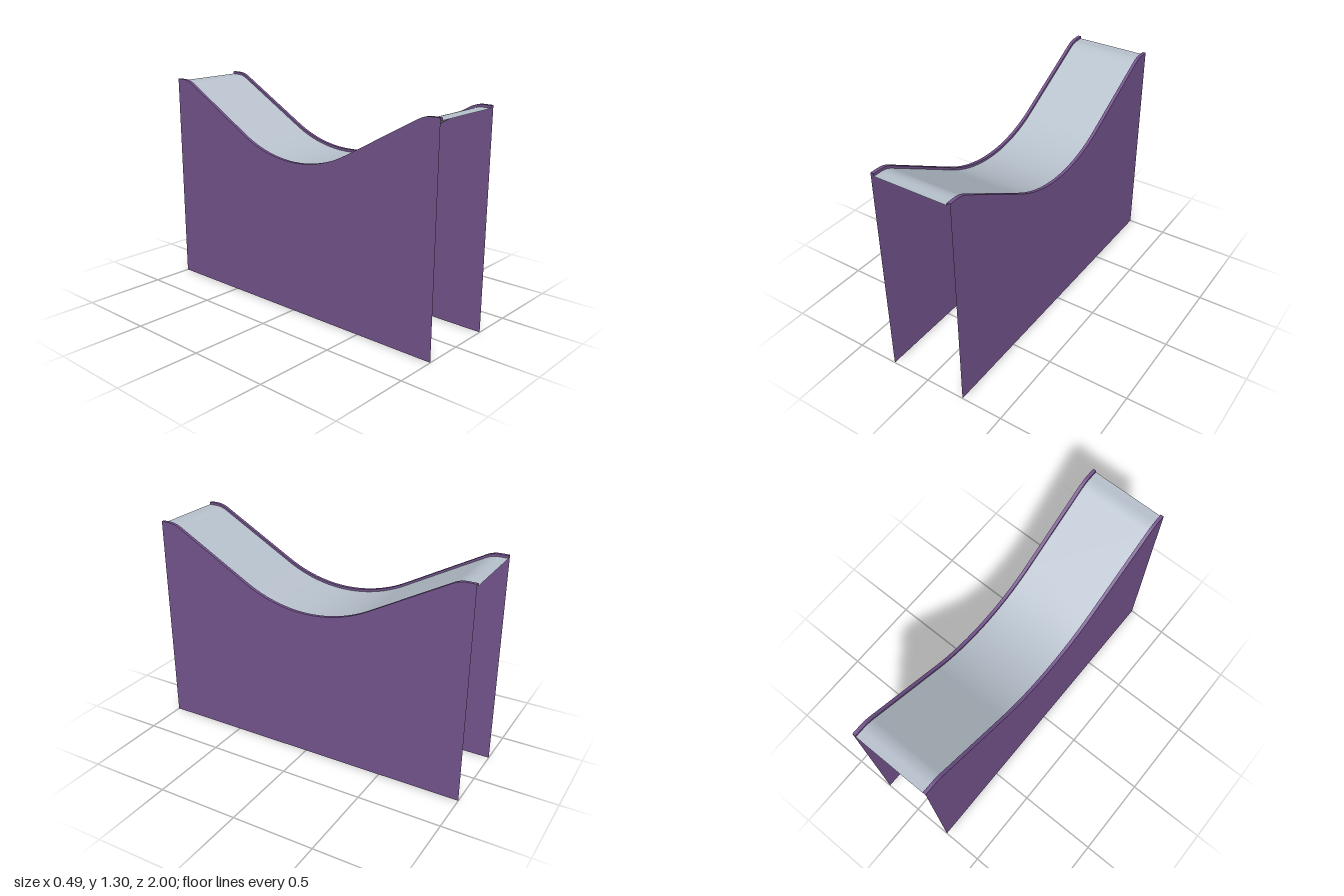
import * as THREE from 'three';

const HALF_WIDTH = 0.245, RIM = 0.02, DECK_DROP = 0.015;
const ANGLE = THREE.MathUtils.degToRad(29);

// Side profile as [z, y] points: flat lip, rounded crest, straight ramp, round valley, mirrored
function profile() {
  const half = [];
  const valleyR = 0.825, crestR = 0.161, crestZ = 0.95, valleyY = 0.92, topY = 1.305;
  for (let i = 0; i <= 14; i++) {
    const a = ANGLE * i / 14;
    half.push([valleyR * Math.sin(a), valleyY + valleyR * (1 - Math.cos(a))]);
  }
  for (let i = 8; i >= 0; i--) {
    const a = ANGLE * i / 8;
    half.push([crestZ - crestR * Math.sin(a), topY - crestR * (1 - Math.cos(a))]);
  }
  half.push([1, topY]);
  const mirrored = half.slice(1).reverse().map(([z, y]) => [-z, y]);
  return [...mirrored, ...half];
}

// Ribbon following the profile between two edges, each given as x and a drop in height
function ribbon(points, xa, dropA, xb, dropB) {
  const pos = [], index = [];
  points.forEach(([z, y], i) => {
    pos.push(xa, y - dropA, z, xb, y - dropB, z);
    if (i > 0) {
      const k = 2 * i;
      index.push(k - 2, k, k - 1, k - 1, k, k + 1);
    }
  });
  const geo = new THREE.BufferGeometry();
  geo.setAttribute('position', new THREE.Float32BufferAttribute(pos, 3));
  geo.setIndex(index);
  geo.computeVertexNormals();
  return geo;
}

export function createModel() {
  const group = new THREE.Group();
  const purple = new THREE.MeshStandardMaterial({ name: 'purple', color: 0x75558f, side: THREE.DoubleSide });
  const paleGrey = new THREE.MeshStandardMaterial({ name: 'paleGrey', color: 0xb9c3ce, side: THREE.DoubleSide });
  const add = (name, geo, mat) => {
    const mesh = new THREE.Mesh(geo, mat);
    mesh.name = name;
    group.add(mesh);
    return mesh;
  };
  const points = profile();
  const inner = HALF_WIDTH - RIM;

  // Curved riding surface
  add('deck', ribbon(points, -inner, DECK_DROP, inner, DECK_DROP), paleGrey);

  // Sheet wall outline
  const outline = new THREE.Shape([
    new THREE.Vector2(-1, 0), new THREE.Vector2(1, 0),
    ...points.slice().reverse().map(([z, y]) => new THREE.Vector2(z, y)),
  ]);

  for (const [side, s] of [['left', 1], ['right', -1]]) {
    // Thin outer wall
    const wall = new THREE.ShapeGeometry(outline).rotateY(s * Math.PI / 2);
    add(side + 'Wall', wall, purple).position.x = s * HALF_WIDTH;

    // Rim on top of the wall and its lip down to the deck
    const outerX = s * HALF_WIDTH, innerX = s * inner;
    add(side + 'Rim', ribbon(points, Math.min(outerX, innerX), 0, Math.max(outerX, innerX), 0), purple);
    add(side + 'Lip', s > 0
      ? ribbon(points, innerX, DECK_DROP, innerX, 0)
      : ribbon(points, innerX, 0, innerX, DECK_DROP), purple);
  }
  return group;
}
